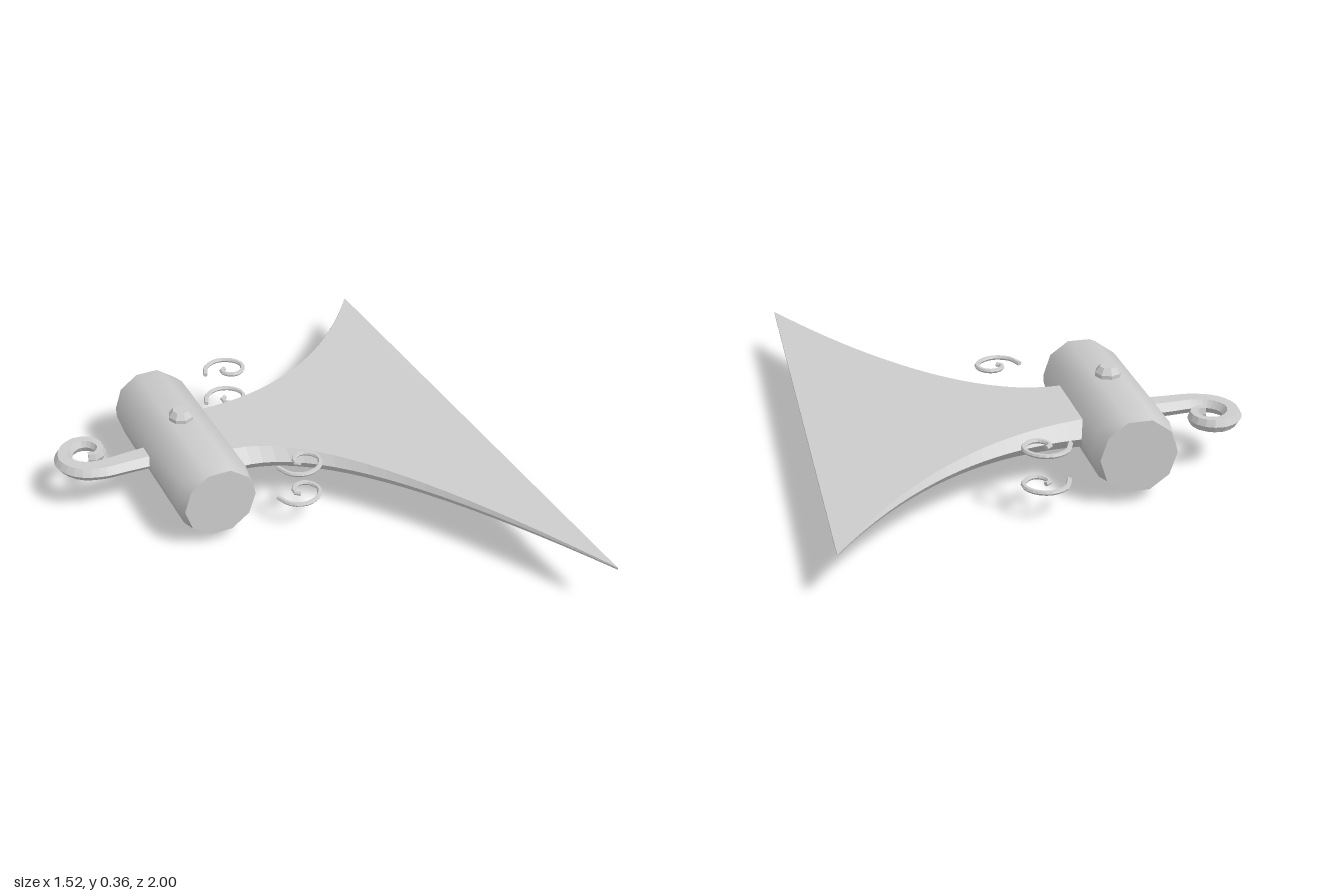
import * as THREE from 'three';
import { toCreasedNormals } from 'three/addons/utils/BufferGeometryUtils.js';

const MID = 0.178; // height of the symmetry plane
const AXIS_Z = -0.252; // middle of the barrel

// Skin a list of rings (arrays of [x, y, z], counter-clockwise about the path) and cap both ends
function loft(rings) {
  const pos = [];
  const tri = (a, b, c) => pos.push(...a, ...b, ...c);
  const n = rings[0].length;
  for (let i = 0; i < rings.length - 1; i++) {
    for (let j = 0; j < n; j++) {
      const k = (j + 1) % n;
      tri(rings[i][j], rings[i][k], rings[i + 1][k]);
      tri(rings[i][j], rings[i + 1][k], rings[i + 1][j]);
    }
  }
  const first = rings[0], last = rings[rings.length - 1];
  for (let j = 1; j < n - 1; j++) {
    tri(first[0], first[j + 1], first[j]);
    tri(last[0], last[j], last[j + 1]);
  }
  const geo = new THREE.BufferGeometry();
  geo.setAttribute('position', new THREE.Float32BufferAttribute(pos, 3));
  geo.computeVertexNormals();
  return geo;
}

// Hexagonal bar swept along flat [x, z] points, tapering from start to end half-sizes
function scroll(points, steps, w0, w1, h0, h1, y) {
  const curve = new THREE.CatmullRomCurve3(points.map(([x, z]) => new THREE.Vector3(x, y, z)));
  const rings = [];
  for (let i = 0; i <= steps; i++) {
    const u = i / steps;
    const p = curve.getPointAt(u), t = curve.getTangentAt(u);
    const w = THREE.MathUtils.lerp(w0, w1, u), h = THREE.MathUtils.lerp(h0, h1, u);
    const section = [[w, 0], [w * 0.55, h], [-w * 0.55, h], [-w, 0], [-w * 0.55, -h], [w * 0.55, -h]];
    rings.push(section.map(([a, b]) => [p.x + t.z * a, p.y + b, p.z - t.x * a]));
  }
  return loft(rings);
}

// z of a quadratic curve that leaves the barrel level and sweeps out to the blade tip
const X0 = -0.15, X1 = 0.762;
function edgeZ(x, controlX, z0, z1) {
  const a = X0 - 2 * controlX + X1, b = 2 * (controlX - X0), c = X0 - Math.max(x, X0);
  const t = Math.abs(a) < 1e-6 ? -c / b : (-b + Math.sqrt(b * b - 4 * a * c)) / (2 * a);
  return z0 + (z1 - z0) * t * t;
}

function bladeGeometry() {
  const xs = [-0.25];
  for (let i = 0; i <= 20; i++) xs.push(X0 + (X1 - X0) * i / 20);
  return loft(xs.map((x) => {
    const u = Math.max(0, (x - X0) / (X1 - X0));
    const h = THREE.MathUtils.lerp(0.052, 0.004, u);
    const inset = 0.046 * (1 - u) + 0.002;
    const back = edgeZ(x, 0.35, -0.445, -1), front = edgeZ(x, 0.25, -0.06, 1);
    return [[back, 0], [back + inset, h], [front - inset, h],
      [front, 0], [front - inset, -h], [back + inset, -h]].map(([z, y]) => [x, MID + y, z]);
  }));
}

export function createModel() {
  const group = new THREE.Group();
  const metal = new THREE.MeshStandardMaterial({ color: 0xcccccc });
  metal.name = 'grey metal';
  const add = (name, geo) => {
    const mesh = new THREE.Mesh(geo, metal);
    mesh.name = name;
    group.add(mesh);
    return mesh;
  };

  // Ten-sided barrel with chamfered ends
  const profile = [[0, -0.361], [0.135, -0.361], [0.15, -0.305], [0.15, 0.305], [0.135, 0.361], [0, 0.361]];
  const barrelGeo = new THREE.LatheGeometry(profile.map(([r, y]) => new THREE.Vector2(r, y)), 10, Math.PI / 2);
  barrelGeo.deleteAttribute('normal');
  barrelGeo.deleteAttribute('uv');
  const barrel = add('barrel', toCreasedNormals(barrelGeo, 0.8));
  barrel.rotation.x = Math.PI / 2;
  barrel.position.set(-0.295, MID, AXIS_Z);

  // Rivets above and below
  for (const side of [1, -1]) {
    const geo = new THREE.CylinderGeometry(0.03, 0.047, 0.022, 8).toNonIndexed();
    geo.translate(0, 0.167, 0);
    const base = new THREE.CylinderGeometry(0.047, 0.047, 0.03, 8).toNonIndexed();
    base.translate(0, 0.141, 0);
    for (const [name, g] of [['rivetHead', geo], ['rivetBase', base]]) {
      g.computeVertexNormals();
      const rivet = add(name, g);
      rivet.position.set(-0.295, MID, AXIS_Z);
      if (side < 0) rivet.rotation.x = Math.PI;
    }
  }

  // Flaring blade
  add('blade', bladeGeometry());

  // Curled hook behind the barrel
  const hook = [[-0.4, -0.257], [-0.52, -0.257], [-0.61, -0.257], [-0.685, -0.285], [-0.722, -0.35],
    [-0.7, -0.415], [-0.645, -0.446], [-0.593, -0.425], [-0.575, -0.375], [-0.6, -0.338], [-0.632, -0.345]];
  add('hook', scroll(hook, 28, 0.058, 0.016, 0.027, 0.022, MID));

  // Four thin curls, mirrored front to back and top to bottom
  const curl = [[-0.062, -0.59], [-0.035, -0.645], [0.02, -0.668], [0.075, -0.645], [0.098, -0.6],
    [0.08, -0.56], [0.045, -0.546], [0.012, -0.567], [0.008, -0.595], [0.024, -0.604]];
  for (const y of [MID + 0.067, MID - 0.067]) {
    for (const front of [false, true]) {
      const path = curl.map(([x, z]) => [x, front ? 2 * AXIS_Z - z : z]);
      add(front ? 'frontCurl' : 'backCurl', scroll(path, 20, 0.009, 0.009, 0.007, 0.007, y));
    }
  }
  return group;
}
